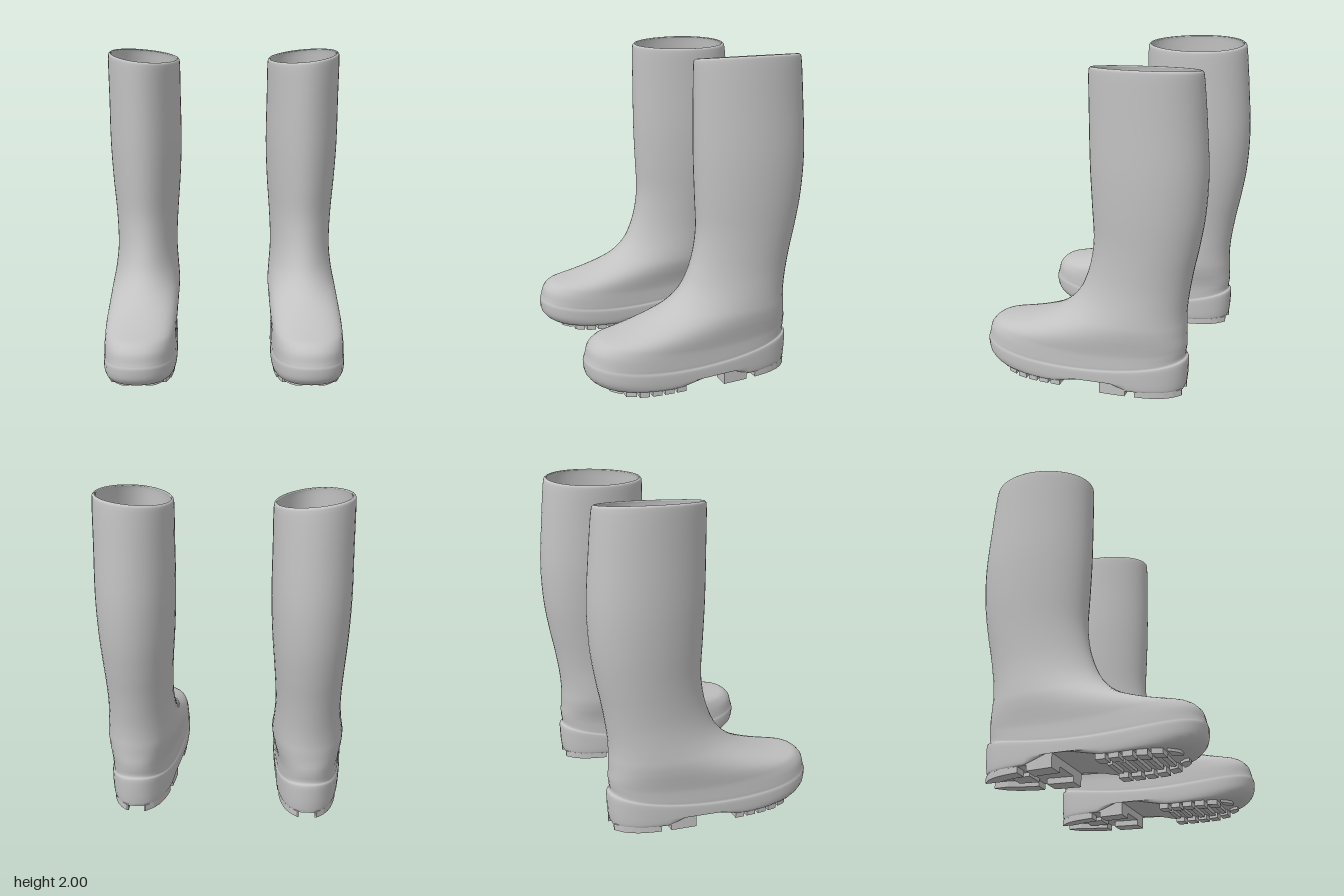
import * as THREE from 'three';

const rubber = new THREE.MeshStandardMaterial({ color: 0xc2c2c2 });
rubber.name = 'grey rubber';

const SEG = 48;   // points around each ring
const STEPS = 4;  // rings between two listed rows
const { smoothstep, clamp } = THREE.MathUtils;

// Rings from the rim down to the sole: front y, front z, back y, back z, half width
const PROFILE = [
  [1.963, -0.005, 1.973, -0.655, 0.23],
  [1.925, 0.003, 1.935, -0.668, 0.237],
  [1.7, 0.003, 1.7, -0.69, 0.238],
  [1.4, 0, 1.4, -0.71, 0.24],
  [1.15, -0.01, 1.15, -0.7, 0.23],
  [0.95, -0.018, 0.95, -0.67, 0.215],
  [0.8, 0, 0.8, -0.64, 0.206],
  [0.68, 0.035, 0.68, -0.62, 0.204],
  [0.58, 0.085, 0.58, -0.607, 0.211],
  [0.5, 0.16, 0.5, -0.603, 0.221],
  [0.44, 0.255, 0.44, -0.605, 0.229],
  [0.395, 0.37, 0.39, -0.606, 0.229],
  [0.365, 0.48, 0.36, -0.608, 0.225],
  [0.348, 0.57, 0.335, -0.61, 0.221],
  [0.332, 0.635, 0.31, -0.61, 0.219],
  [0.29, 0.682, 0.285, -0.608, 0.22],
  [0.235, 0.698, 0.255, -0.604, 0.221],
  // welt and side of the sole
  [0.215, 0.704, 0.238, -0.607, 0.221],
  [0.19, 0.71, 0.222, -0.622, 0.227],
  [0.12, 0.7, 0.12, -0.62, 0.226],
  [0.07, 0.655, 0.06, -0.614, 0.221],
  [0.05, 0.605, 0.045, -0.61, 0.212],
];

// Add toe flare, waist, side sag, side tilt and centre x, growing as the ring reaches the toe
const ROWS = PROFILE.map((r) => {
  const foot = smoothstep(r[1], 0, 0.6);
  const toe = smoothstep(r[1], 0.1, 0.72) ** 2;
  const sag = toe * (0.06 * smoothstep(r[0], 0.05, 0.22) + 0.018);
  const tilt = 0.024 * smoothstep(r[0], 1.7, 1.96);
  return [...r, 0.055 * foot - 0.02, 0.08 * foot, sag, tilt, 0.53 + 0.01 * foot];
});
const LAST = ROWS[ROWS.length - 1];

// Inner wall: the same rings moved inwards by the rubber's thickness
const INNER = ROWS.slice(0, 17).map((r, i) => {
  const n = [...r], inset = i ? 0.016 : 0.012;
  n[0] -= i > 7 ? 0.016 : 0;
  n[1] -= inset;
  n[3] += inset;
  n[4] -= inset;
  return n;
});

// Catmull-Rom rows between the listed ones
function refine(rows) {
  const out = [];
  const at = (i) => rows[clamp(i, 0, rows.length - 1)];
  for (let i = 0; i < rows.length - 1; i++) {
    for (let s = 0; s < STEPS; s++) {
      const t = s / STEPS;
      out.push(at(i).map((b, k) => {
        const a = at(i - 1)[k], c = at(i + 1)[k], d = at(i + 2)[k];
        return b + 0.5 * t * (c - a + t * (2 * a - 5 * b + 4 * c - d + t * (3 * (b - c) + d - a)));
      }));
    }
  }
  out.push(rows[rows.length - 1]);
  return out;
}

// Half width of a ring at angle t, where t = 0 is the toe
function halfWidth(row, t) {
  const c = Math.cos(t), s = Math.sin(t);
  const [, , , , w, flare, waist] = row;
  return Math.sign(s) * Math.pow(Math.abs(s), 1 - waist) * (w + flare * c + waist * c * c);
}

function ring(row, m) {
  const [yf, zf, yb, zb, w, , , sag, tilt, cx] = row;
  const pts = [];
  for (let j = 0; j < SEG; j++) {
    const t = (j / SEG) * Math.PI * 2, u = (1 + Math.cos(t)) / 2;
    const x = halfWidth(row, t), z = zb + (zf - zb) * u;
    // the lowest rings lift over the arch in front of the heel
    const arch = 0.05 * smoothstep(-yf, -0.12, -0.05) * smoothstep(-z, -0.22, 0.08) * smoothstep(z, -0.3, -0.16);
    const y = yb + (yf - yb) * u - sag * Math.sin(t) ** 2 + tilt * x / w + arch;
    pts.push([m * (cx + x), y, z]);
  }
  return pts;
}

// Skin over closed rings; m = -1 mirrors the boot
function loft(rings, m) {
  const idx = [];
  for (let i = 0; i < rings.length - 1; i++) {
    for (let j = 0; j < SEG; j++) {
      const k = (j + 1) % SEG;
      const a = i * SEG + j, b = a + SEG, c = i * SEG + k, d = c + SEG;
      idx.push(...(m > 0 ? [a, b, c, c, b, d] : [a, c, b, c, d, b]));
    }
  }
  const g = new THREE.BufferGeometry();
  g.setAttribute('position', new THREE.Float32BufferAttribute(rings.flat(2), 3));
  g.setIndex(idx);
  g.computeVertexNormals();
  return g;
}

// The ring squeezed onto its centre line, used to close a loft
const centreLine = (pts, row, m) => pts.map(([, y, z]) => [m * row[9], y, z]);

// Half width of the sole at z
function soleWidth(z) {
  const c = (2 * (z - LAST[3])) / (LAST[1] - LAST[3]) - 1;
  return halfWidth(LAST, Math.acos(clamp(c, -1, 1)));
}

// Flat slab from an outline of [x, z] points
function slab(points, y0, y1, m) {
  const shape = new THREE.Shape(points.map(([x, z]) => new THREE.Vector2(m * (LAST[9] + x), z)));
  const g = new THREE.ExtrudeGeometry(shape, { depth: y1 - y0, bevelEnabled: false });
  return g.rotateX(Math.PI / 2).translate(0, y1, 0);
}

// Tread lug that follows the sole's edge from z0 to z1
function edgeLug(z0, z1, side, depth, gap, y0, y1, m) {
  const outer = [], inner = [];
  for (let i = 0; i <= 6; i++) {
    const z = z0 + ((z1 - z0) * i) / 6, w = Math.max(soleWidth(z), gap + 0.01);
    outer.push([side * w, z]);
    inner.unshift([side * Math.max(w - depth, gap), z]);
  }
  return slab([...outer, ...inner], y0, y1, m);
}

function makeBoot(m) {
  const boot = new THREE.Group();
  boot.name = m > 0 ? 'leftBoot' : 'rightBoot';
  const add = (name, geometry) => {
    const mesh = new THREE.Mesh(geometry, rubber);
    mesh.name = name;
    boot.add(mesh);
  };

  // Inner wall up, over the rim, outer wall down
  const rows = refine([...[...INNER].reverse(), ...ROWS]);
  const rings = rows.map((r) => ring(r, m));
  add('bootShell', loft(rings, m));

  // Insole and underside
  const first = rings[0], last = rings[rings.length - 1];
  add('insole', loft([centreLine(first, rows[0], m), first], m));
  add('soleUnderside', loft([last, centreLine(last, LAST, m)], m));

  // Heel plate and its lugs
  const edge = [];
  for (let i = 0; i <= 14; i++) {
    const z = -0.12 - (0.485 * i) / 14;
    edge.push([soleWidth(z), z]);
  }
  const plate = [...edge, ...edge.map(([x, z]) => [-x, z]).reverse()];
  add('heelPlate', slab(plate, 0.035, 0.1, m));
  for (const side of [1, -1]) {
    add('heelFrontLug', edgeLug(-0.28, -0.12, side, 0.11, 0.05, 0, 0.04, m));
    add('heelBackLug', edgeLug(-0.603, -0.34, side, 0.085, 0.05, 0, 0.04, m));
  }
  add('heelCentreLug', slab([[-0.05, -0.44], [0.05, -0.44], [0.065, -0.32], [-0.065, -0.32]], 0.012, 0.04, m));

  // Forefoot lugs and bars, rising towards the toe
  for (let i = 0; i < 6; i++) {
    const z = 0.14 + i * 0.077;
    const y = 0.008 + 0.028 * Math.max(0, (z - 0.36) / 0.18) ** 2;
    for (const side of [1, -1]) add('forefootLug', edgeLug(z, z + 0.058, side, 0.08, 0.05, y, 0.07, m));
    const w = 0.11 - 0.012 * Math.abs(i - 2);
    if (i < 5) add('forefootBar', slab([[-w, z + 0.02], [w, z + 0.02], [w, z + 0.05], [-w, z + 0.05]], y + 0.008, 0.07, m));
  }
  return boot;
}

export function createModel() {
  const model = new THREE.Group();
  model.name = 'rubberBoots';
  model.add(makeBoot(1), makeBoot(-1));
  return model;
}
